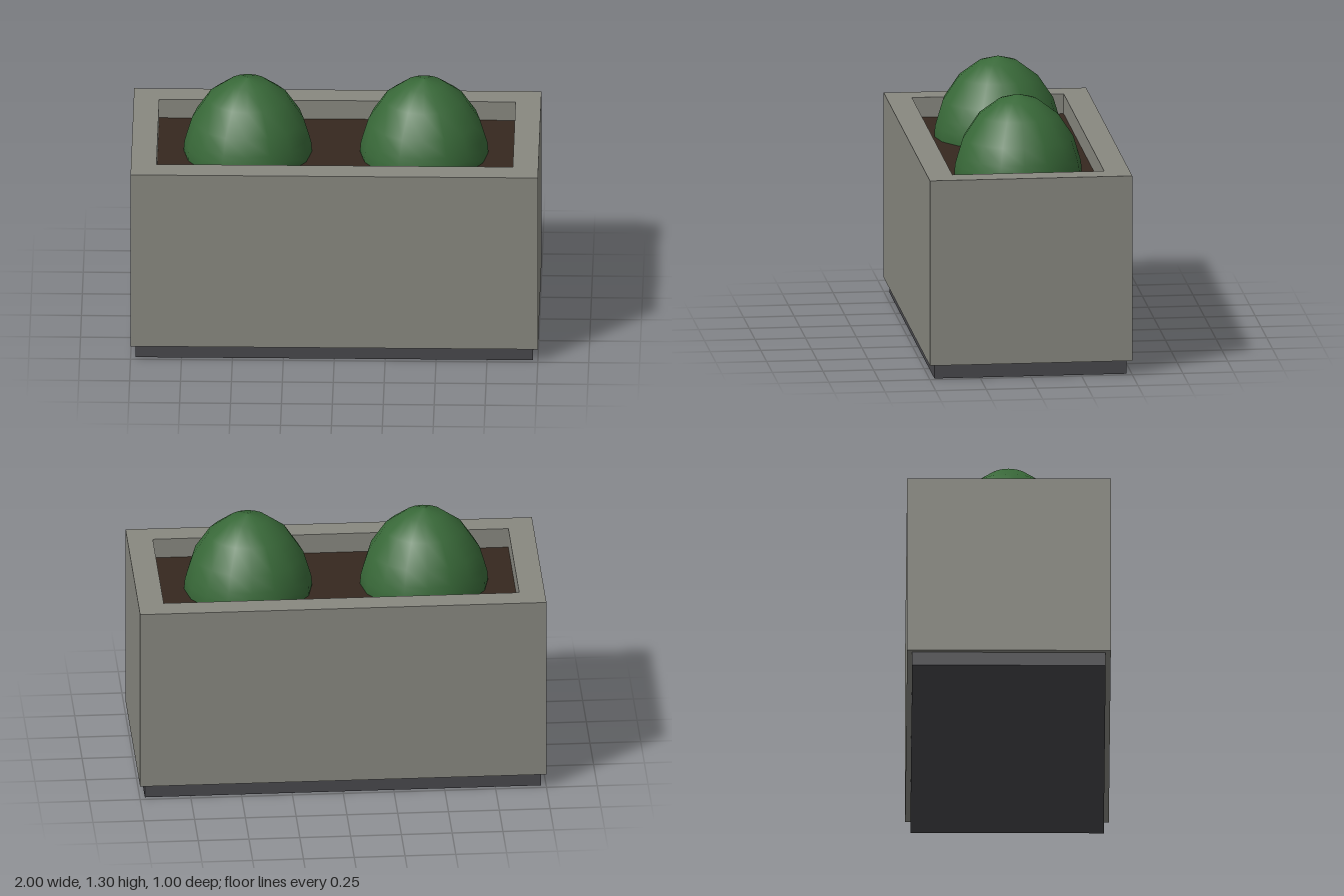
import * as THREE from 'three';

const mat = (color) => new THREE.MeshStandardMaterial({ color });

function add(group, name, geometry, material, x = 0, y = 0, z = 0) {
  const mesh = new THREE.Mesh(geometry, material);
  mesh.name = name;
  mesh.position.set(x, y, z);
  group.add(mesh);
  return mesh;
}

// Corner points of a rectangle centred on the origin
const rect = (w, d) => [[-1, -1], [1, -1], [1, 1], [-1, 1]]
  .map(([x, y]) => new THREE.Vector2(x * w / 2, y * d / 2));

export function createModel() {
  const model = new THREE.Group();
  model.name = 'planter';

  // Recessed plinth
  add(model, 'base', new THREE.BoxGeometry(1.95, 0.07, 0.95), mat(0x48484c), 0, 0.035, 0);

  // Trough walls: a rectangular ring extruded upward
  const outline = new THREE.Shape(rect(2, 1));
  outline.holes.push(new THREE.Path(rect(1.75, 0.75)));
  const walls = new THREE.ExtrudeGeometry(outline, { depth: 0.93, bevelEnabled: false });
  walls.rotateX(-Math.PI / 2);
  add(model, 'troughWalls', walls, mat(0x888880), 0, 0.07, 0);

  // Soil filling the trough to just below the rim
  add(model, 'soil', new THREE.BoxGeometry(1.75, 0.83, 0.75), mat(0x35281f), 0, 0.485, 0);

  // Two domed shrubs
  const profile = [
    [0.31, 0.86], [0.315, 0.91], [0.311, 0.955], [0.298, 1.0], [0.273, 1.083],
    [0.197, 1.197], [0.097, 1.272], [0, 1.3],
  ].map(([r, y]) => new THREE.Vector2(r, y));
  const dome = new THREE.LatheGeometry(profile, 16);
  const leaves = mat(0x386838);
  for (const side of [-1, 1]) {
    add(model, side > 0 ? 'leftShrub' : 'rightShrub', dome, leaves, side * 0.433, 0, 0);
  }

  return model;
}
